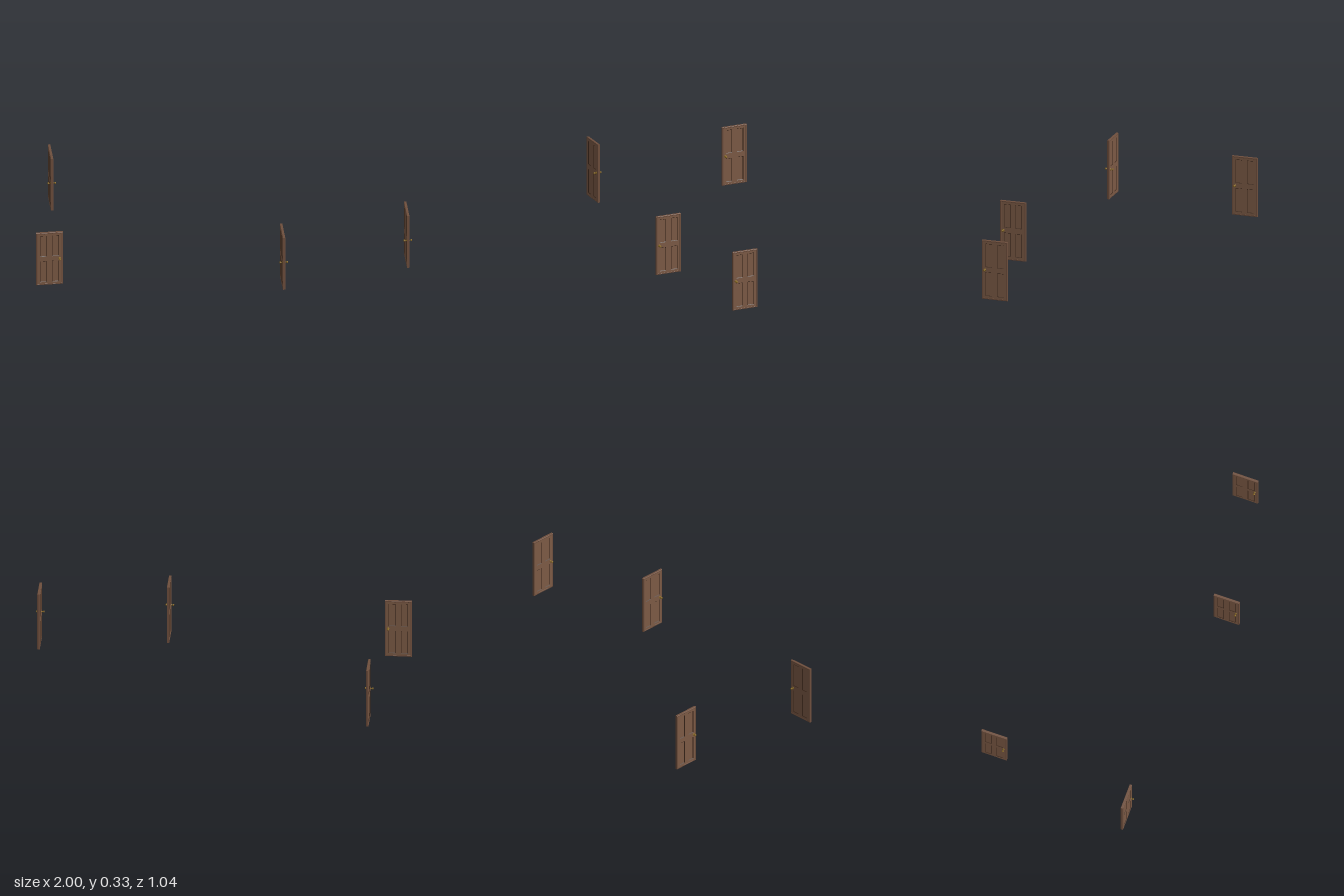
import * as THREE from 'three';

const W = 0.143, H = 0.327, T = 0.0135; // door width, height, thickness
const RIM = 0.005;
const mat = (color) => new THREE.MeshStandardMaterial({ color });
const wood = mat(0x7c5a45), rimWood = mat(0x6f4f3d), groove = mat(0x3a2519), brass = mat(0x8a6a22);

// Four panel openings: [x0, y0, x1, y1], measured from the middle of the bottom edge
const panels = [];
for (const [x0, x1] of [[-0.051, -0.014], [0.014, 0.051]])
  for (const [y0, y1] of [[0.018, 0.150], [0.178, 0.309]]) panels.push([x0, y0, x1, y1]);

function rect(Type, x0, y0, x1, y1) {
  return new Type([[x0, y0], [x1, y0], [x1, y1], [x0, y1]].map(([x, y]) => new THREE.Vector2(x, y)));
}

// Extrusion centred on z = 0, with chamfers inside the given total depth
function slab(shape, depth, bevel) {
  const g = new THREE.ExtrudeGeometry(shape, {
    depth: depth - 2 * bevel, bevelEnabled: true, bevelThickness: bevel, bevelSize: bevel, bevelSegments: 1,
  });
  return g.translate(0, 0, bevel - depth / 2);
}

function addMesh(parent, name, geometry, material) {
  const m = new THREE.Mesh(geometry, material);
  m.name = name;
  parent.add(m);
  return m;
}

function makeDoor() {
  const door = new THREE.Group();

  // Stiles and rails with bevelled openings
  const frame = rect(THREE.Shape, -W / 2 + RIM, RIM, W / 2 - RIM, H - RIM);
  for (const p of panels) frame.holes.push(rect(THREE.Path, ...p));
  addMesh(door, 'stilesAndRails', slab(frame, T - 0.001, 0.0025), [wood, groove]);

  // Chamfered outer rim
  const c = 0.0015;
  const rim = rect(THREE.Shape, -W / 2 + c, c, W / 2 - c, H - c);
  rim.holes.push(rect(THREE.Path, -W / 2 + RIM + c, RIM + c, W / 2 - RIM - c, H - RIM - c));
  addMesh(door, 'outerRim', slab(rim, T, c), rimWood);

  // Recessed panels, visible from both sides
  for (const [x0, y0, x1, y1] of panels) {
    const g = new THREE.BoxGeometry(x1 - x0, y1 - y0, T - 0.006);
    addMesh(door, 'panel', g.translate((x0 + x1) / 2, (y0 + y1) / 2, 0), wood);
  }

  // Rose, neck and knob on each face
  const profile = [
    [0, 0.005], [0.007, 0.005], [0.007, 0.0075], [0.005, 0.0085], [0.002, 0.009],
    [0.002, 0.0145], [0.0045, 0.016], [0.0058, 0.0185], [0.005, 0.0212], [0.003, 0.0227], [0, 0.023],
  ].map(([r, y]) => new THREE.Vector2(r, y));
  for (const side of [1, -1]) {
    const knob = addMesh(door, 'doorKnob', new THREE.LatheGeometry(profile, 16), brass);
    knob.rotation.x = side * Math.PI / 2;
    knob.position.set(W / 2 - 0.0175, 0.163, 0);
  }
  return door;
}

export function createModel() {
  const model = new THREE.Group();
  model.name = 'doors';
  // x, z and turn of each door
  const places = [
    ['backDoor', -0.833, -0.451, -Math.PI / 2],
    ['rightDoor', -0.9285, 0.325, 0],
    ['frontDoor', 0.30, 0.451, -Math.PI / 2],
    ['leftDoor', 0.977, 0.315, -Math.PI / 2],
  ];
  for (const [name, x, z, turn] of places) {
    const door = makeDoor();
    door.name = name;
    door.position.set(x, 0, z);
    door.rotation.y = turn;
    model.add(door);
  }
  return model;
}
